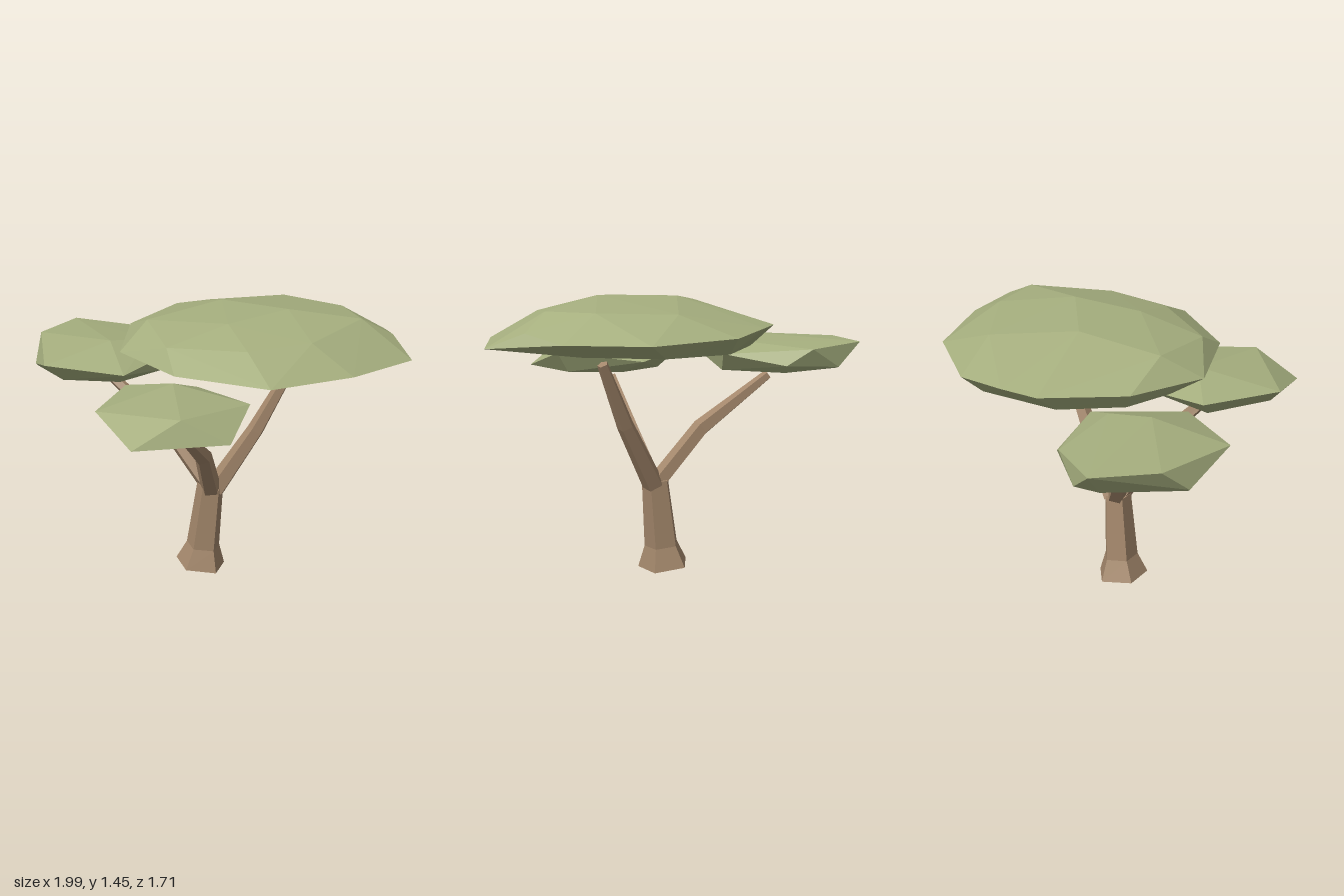
import * as THREE from 'three';
import { ConvexGeometry } from 'three/addons/geometries/ConvexGeometry.js';

const SIDES = 5;

// Tapered five-sided limb along a path of [x, y, z, radius] stations
function limbGeometry(stations) {
  const centres = stations.map(([x, y, z]) => new THREE.Vector3(x, y, z));
  const up = new THREE.Vector3(0, 1, 0);
  const positions = [];
  const last = centres.length - 1;
  centres.forEach((c, i) => {
    const tangent = centres[Math.min(i + 1, last)].clone()
      .sub(centres[Math.max(i - 1, 0)]).normalize();
    const turn = new THREE.Quaternion().setFromUnitVectors(up, tangent);
    for (let k = 0; k < SIDES; k++) {
      const a = Math.PI / 4 + (k / SIDES) * Math.PI * 2;
      const r = stations[i][3];
      const p = new THREE.Vector3(Math.cos(a) * r, 0, Math.sin(a) * r)
        .applyQuaternion(turn).add(c);
      positions.push(p.x, p.y, p.z);
    }
  });
  const index = [];
  for (let i = 0; i < last; i++) {
    for (let k = 0; k < SIDES; k++) {
      const n = (k + 1) % SIDES;
      const a = i * SIDES + k, b = i * SIDES + n;
      index.push(a, a + SIDES, b, b, a + SIDES, b + SIDES);
    }
  }
  // End caps
  const top = last * SIDES;
  for (let k = 1; k < SIDES - 1; k++) {
    index.push(0, k, k + 1, top, top + k + 1, top + k);
  }
  const indexed = new THREE.BufferGeometry();
  indexed.setAttribute('position', new THREE.Float32BufferAttribute(positions, 3));
  indexed.setIndex(index);
  const flat = indexed.toNonIndexed();
  flat.computeVertexNormals();
  return flat;
}

// Faceted leaf pad: flat underside, wide rim and low crown
function padGeometry(...rings) {
  return new ConvexGeometry(rings.flat().map(([x, y, z]) => new THREE.Vector3(x, y, z)));
}

const atHeight = (y, points) => points.map(([x, z]) => [x, y, z]);

export function createModel() {
  const bark = new THREE.MeshStandardMaterial({ color: 0xa3876b, flatShading: true });
  bark.name = 'bark brown';
  const leaf = new THREE.MeshStandardMaterial({ color: 0xa5ae7e, flatShading: true });
  leaf.name = 'leaf green';

  const tree = new THREE.Group();
  tree.name = 'tree';
  const add = (name, geometry, material) => {
    const mesh = new THREE.Mesh(geometry, material);
    mesh.name = name;
    tree.add(mesh);
  };

  // Trunk with flared foot
  add('trunk', limbGeometry([
    [-0.09, 0.01, -0.095, 0.137], [-0.075, 0.12, -0.095, 0.092], [-0.035, 0.47, -0.09, 0.073],
  ]), bark);

  // Branches
  add('rightBranch', limbGeometry([
    [-0.04, 0.46, -0.1, 0.05], [-0.26, 0.73, -0.19, 0.047], [-0.61, 0.99, -0.325, 0.027],
  ]), bark);
  add('frontBranch', limbGeometry([
    [-0.03, 0.46, -0.07, 0.056], [-0.045, 0.71, 0.12, 0.047], [-0.14, 0.95, 0.385, 0.027],
  ]), bark);
  add('leftBranch', limbGeometry([
    [-0.01, 0.45, -0.1, 0.058], [0.2, 0.78, -0.125, 0.045], [0.375, 1.11, -0.155, 0.028],
  ]), bark);

  // Large upper canopy: underside, rim, crown
  add('mainCanopy', padGeometry(
    atHeight(1.19, [[-0.39, 0], [-0.1, 0.3], [0.3, 0.32], [0.7, 0.1], [0.7, -0.4],
      [0.45, -0.7], [0.1, -0.76], [-0.25, -0.55], [-0.4, -0.25]]),
    [[0.14, 1.275, -0.855], [0.58, 1.26, -0.75], [0.85, 1.26, -0.44], [0.89, 1.3, -0.21],
      [0.99, 1.22, -0.03], [0.71, 1.23, 0.31], [0.33, 1.23, 0.55], [-0.14, 1.25, 0.46],
      [-0.46, 1.265, 0.15], [-0.48, 1.29, -0.28], [-0.29, 1.3, -0.67], [-0.12, 1.3, -0.77]],
    [[0, 1.435, -0.28], [0.36, 1.445, -0.1], [-0.35, 1.385, -0.03], [0.08, 1.42, 0.12],
      [0.73, 1.39, -0.16], [0.5, 1.36, 0.2], [-0.2, 1.345, 0.31], [0.2, 1.35, 0.35],
      [0.3, 1.38, -0.62], [0.62, 1.39, -0.4]],
  ), leaf);

  // Small canopy on the back right
  add('rightCanopy', padGeometry(
    atHeight(1.04, [[-0.99, -0.28], [-0.8, -0.05], [-0.5, -0.05], [-0.3, -0.3],
      [-0.45, -0.6], [-0.8, -0.63]]),
    [[-0.87, 1.18, -0.73], [-0.55, 1.16, -0.7], [-0.42, 1.08, -0.64], [-0.25, 1.13, -0.36],
      [-0.46, 1.11, 0.06], [-0.88, 1.135, 0.02], [-1, 1.05, -0.28], [-1, 1.18, -0.43],
      [-0.72, 1.06, -0.72]],
    [[-0.58, 1.21, -0.22], [-0.4, 1.185, -0.35]],
  ), leaf);

  // Small canopy at the front
  add('frontCanopy', padGeometry(
    atHeight(1.0, [[-0.4, 0.6], [-0.25, 0.78], [0.12, 0.65], [0.15, 0.4],
      [-0.05, 0.2], [-0.35, 0.25]]),
    [[-0.505, 1.1, 0.58], [-0.285, 1.01, 0.855], [0.16, 1.01, 0.715], [0.22, 1.105, 0.4],
      [-0.08, 1.065, 0.055], [-0.43, 1.1, 0.17]],
    [[-0.07, 1.13, 0.74], [-0.17, 1.165, 0.31]],
  ), leaf);

  return tree;
}
